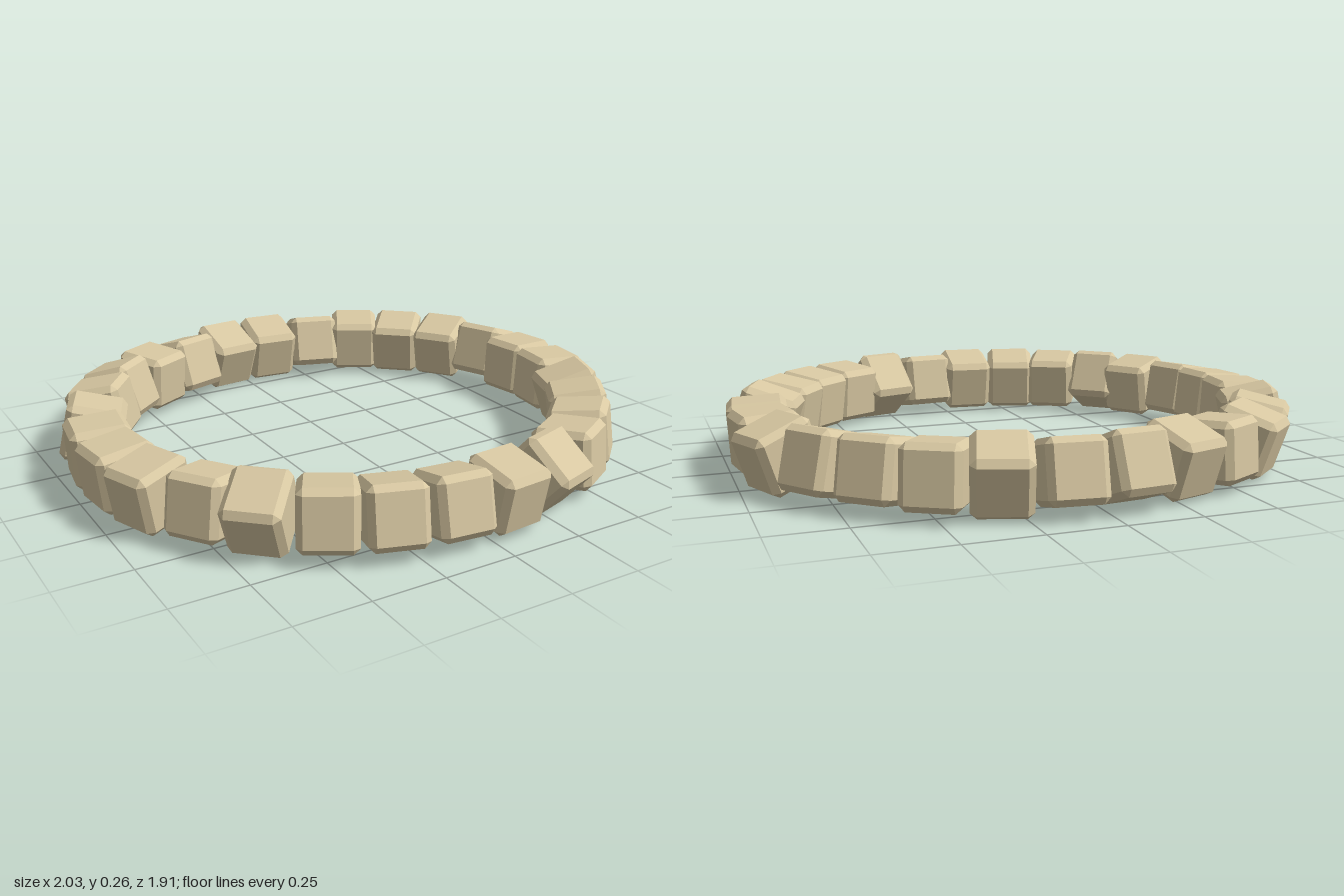
import * as THREE from 'three';
import { ConvexGeometry } from 'three/addons/geometries/ConvexGeometry.js';

// Ring of tumbled stone cubes: x, z, and tilt in degrees (positive leans outward)
const BEADS = [
  [-0.09, -0.83, -22], [0.11, -0.835, -15], [0.31, -0.80, 18], [0.487, -0.733, -6],
  [0.636, -0.615, -12], [0.77, -0.47, -15], [0.88, -0.31, 19], [0.893, -0.11, 3],
  [0.888, 0.09, 3], [0.83, 0.28, -19], [0.732, 0.44, -10], [0.61, 0.59, -8],
  [0.455, 0.71, -5], [0.29, 0.785, -50], [0.09, 0.83, 11], [-0.10, 0.82, -14],
  [-0.295, 0.78, -13], [-0.465, 0.697, -9], [-0.631, 0.583, 27], [-0.74, 0.44, -10],
  [-0.855, 0.27, 10], [-0.89, 0.085, 6], [-0.885, -0.11, 3], [-0.84, -0.30, -13],
  [-0.745, -0.475, 12], [-0.62, -0.63, 18], [-0.452, -0.727, -4], [-0.28, -0.79, 18],
];

// Cube with bevelled edges and clipped corners
function beadGeometry(width, size, bevel) {
  const half = [width / 2, size / 2, size / 2];
  const points = [];
  for (const sx of [-1, 1]) for (const sy of [-1, 1]) for (const sz of [-1, 1]) {
    const s = [sx, sy, sz];
    // each corner becomes three points, one on each face
    for (let face = 0; face < 3; face++) {
      points.push(new THREE.Vector3(...half.map((h, i) => s[i] * (i === face ? h : h - bevel))));
    }
  }
  return new ConvexGeometry(points);
}

export function createModel() {
  const model = new THREE.Group();
  model.name = 'beadRing';
  const stone = new THREE.MeshStandardMaterial({ color: 0xd8c8a2 });
  stone.name = 'sandStone';
  const geometry = beadGeometry(0.19, 0.204, 0.021);

  BEADS.forEach(([x, z, tilt], i) => {
    const bead = new THREE.Mesh(geometry, stone);
    bead.name = `bead${i + 1}`;
    bead.position.set(x, 0.137, z);
    // face outward along the oval's normal, then roll about the string
    bead.rotation.order = 'YXZ';
    bead.rotation.y = Math.atan2(x / 0.81, z / 0.7);
    bead.rotation.x = THREE.MathUtils.degToRad(tilt);
    model.add(bead);
  });
  return model;
}
